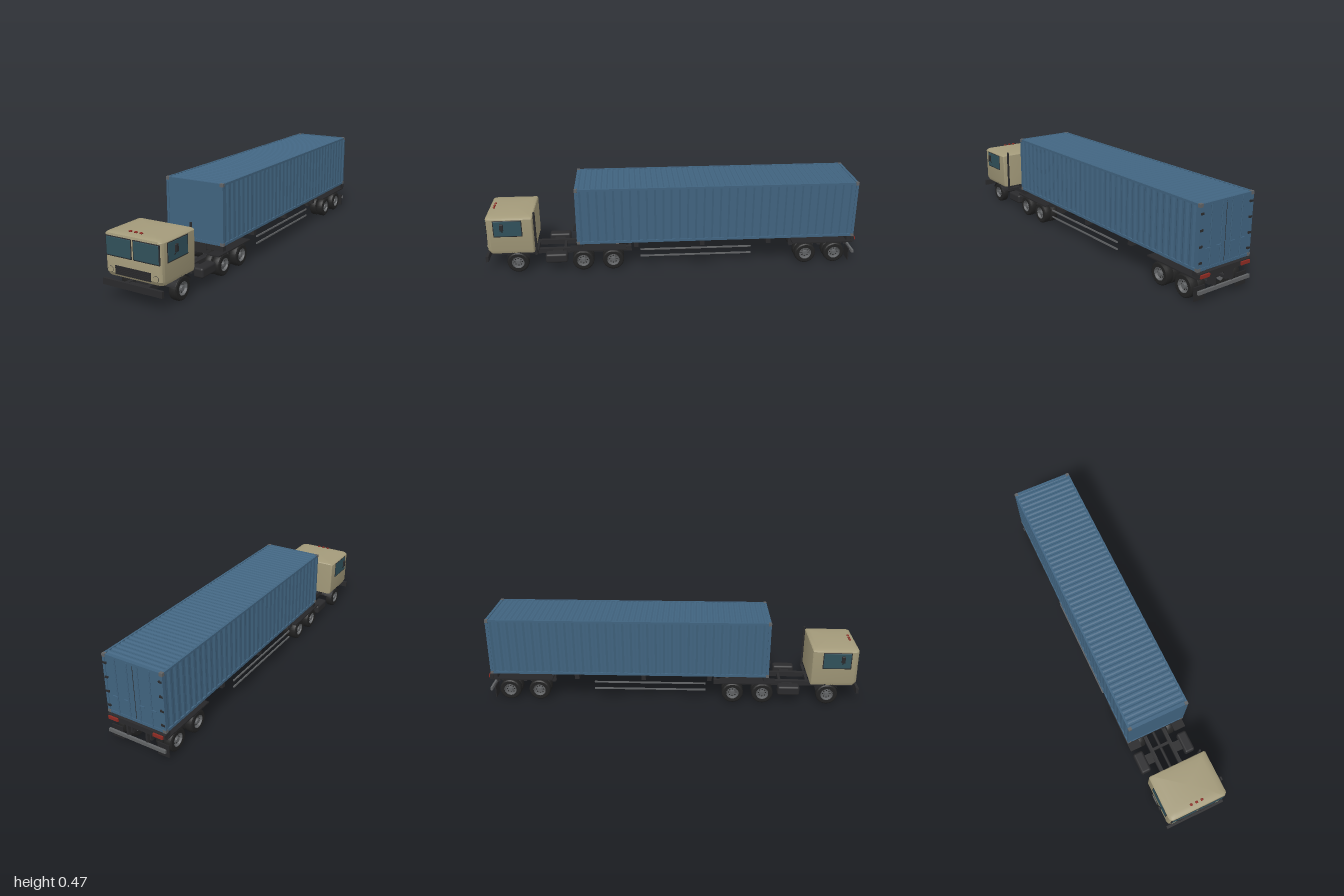
import * as THREE from 'three';
import { toCreasedNormals } from 'three/addons/utils/BufferGeometryUtils.js';
import { RoundedBoxGeometry } from 'three/addons/geometries/RoundedBoxGeometry.js';

const paint = (name, color) => Object.assign(new THREE.MeshStandardMaterial({ color }), { name });
const blue = paint('container blue', 0x40637f);
const beige = paint('cab beige', 0xa39a7a);
const glass = paint('window glass', 0x30505a);
const black = paint('chassis black', 0x2a2a2c);
const rubber = paint('tyre rubber', 0x222222);
const steel = paint('steel grey', 0x606264);
const red = paint('lamp red', 0x8c2a22);
const guard = paint('mudguard black', 0x262628);
guard.side = THREE.DoubleSide;

function add(parent, name, geometry, material, x = 0, y = 0, z = 0) {
  const mesh = new THREE.Mesh(geometry, material);
  mesh.name = name;
  mesh.position.set(x, y, z);
  parent.add(mesh);
  return mesh;
}

// Box given by its limits on each axis
function box(parent, name, material, [x0, x1], [y0, y1], [z0, z1]) {
  return add(parent, name, new THREE.BoxGeometry(x1 - x0, y1 - y0, z1 - z0), material,
    (x0 + x1) / 2, (y0 + y1) / 2, (z0 + z1) / 2);
}

// The same box on both sides of the vehicle
function pair(parent, name, material, [x0, x1], ys, zs) {
  box(parent, name + 'Left', material, [x0, x1], ys, zs);
  box(parent, name + 'Right', material, [-x1, -x0], ys, zs);
}

const rod = (r, length, sides = 12) => new THREE.CylinderGeometry(r, r, length, sides);
const lathe = (points) => toCreasedNormals(
  new THREE.LatheGeometry(points.map(([x, y]) => new THREE.Vector2(x, y)), 28).rotateZ(-Math.PI / 2), 0.5);

// Panel folded into trapezoid ribs
function ribbedPanel(width, height, ribs, depth) {
  const plane = new THREE.PlaneGeometry(width, height, ribs * 4, 1);
  const p = plane.attributes.position;
  for (let i = 0; i < p.count; i++) {
    if ((i % (ribs * 4 + 1)) % 4 >= 2) p.setZ(i, -depth);
  }
  const flat = plane.toNonIndexed();
  flat.computeVertexNormals();
  return flat;
}

// Closed skin through stacked loops of equal length
function loft(rings) {
  const n = rings[0].length, index = [];
  for (let i = 0; i < rings.length - 1; i++) {
    for (let j = 0; j < n; j++) {
      const a = i * n + j, b = i * n + (j + 1) % n;
      index.push(a, a + n, b, b, a + n, b + n);
    }
  }
  const g = new THREE.BufferGeometry();
  g.setAttribute('position', new THREE.Float32BufferAttribute(rings.flat(2), 3));
  g.setIndex(index);
  return toCreasedNormals(g, 0.5);
}

// Cab outline seen from above, shrunk about its centre by s
function cabRing(y, w, front, s = 1) {
  const back = 0.742, mid = (front + back) / 2, ring = [];
  [[1, 1, 0.022], [-1, 1, 0.022], [-1, -1, 0.008], [1, -1, 0.008]].forEach(([sx, sz, r], q) => {
    for (let k = 0; k <= 5; k++) {
      const a = (q + k / 5) * Math.PI / 2;
      const x = (sx * (w - r) + r * Math.cos(a)) * s;
      const z = mid + (sz * ((front - back) / 2 - r) + r * Math.sin(a)) * s;
      ring.push([x, typeof y === 'function' ? y(x) : y, z]);
    }
  });
  return ring;
}

const tyreGeo = lathe([[0.033, -0.021], [0.05, -0.021], [0.056, -0.017], [0.058, -0.011],
  [0.058, 0.011], [0.056, 0.017], [0.05, 0.021], [0.033, 0.021]]);
const rimGeo = lathe([[0, -0.012], [0.034, -0.012], [0.034, 0.02], [0.031, 0.02], [0.026, 0.009],
  [0.014, 0.009], [0.012, 0.02], [0, 0.021]]);
const holeGeo = new THREE.CircleGeometry(0.0035, 8).rotateY(Math.PI / 2);

function wheel(parent, x, z, side) {
  const g = new THREE.Group();
  g.name = 'wheel';
  add(g, 'tyre', tyreGeo, rubber);
  add(g, 'rim', rimGeo, steel);
  for (let i = 0; i < 8; i++) {
    const a = i * Math.PI / 4;
    add(g, 'rimHole', holeGeo, rubber, 0.0096, 0.02 * Math.cos(a), 0.02 * Math.sin(a));
  }
  g.position.set(x * side, 0.058, z);
  if (side < 0) g.rotation.y = Math.PI;
  parent.add(g);
}

function axle(parent, z, dual) {
  add(parent, 'axle', rod(0.012, 0.26).rotateZ(Math.PI / 2), black, 0, 0.058, z);
  for (const side of [1, -1]) {
    wheel(parent, 0.134, z, side);
    if (dual) wheel(parent, 0.088, z, side);
  }
}

function buildCab() {
  const cab = new THREE.Group();
  cab.name = 'cab';
  const arch = (drop) => (x) => 0.33 - drop - 0.012 * (x / 0.155) ** 2;
  add(cab, 'cabShell', loft([
    cabRing(0.116, 0.15, 0.975, 0.001), cabRing(0.116, 0.152, 0.975), cabRing(0.135, 0.158, 0.986),
    cabRing(0.31, 0.16, 0.986), cabRing(arch(0.005), 0.158, 0.984), cabRing(arch(0.001), 0.156, 0.981, 0.97),
    ...[0.8, 0.6, 0.4, 0.2, 0.001].map((s) => cabRing(arch(0), 0.156, 0.981, s)),
  ]), beige);
  // Windscreen halves, side windows and lamps
  for (const s of [1, -1]) {
    add(cab, 'windscreenFrame', new RoundedBoxGeometry(0.146, 0.096, 0.008, 2, 0.004), black, s * 0.076, 0.258, 0.984);
    add(cab, 'windscreen', new RoundedBoxGeometry(0.138, 0.088, 0.008, 2, 0.004), glass, s * 0.076, 0.258, 0.9855);
    add(cab, 'sideWindowFrame', new RoundedBoxGeometry(0.006, 0.094, 0.152, 2, 0.003), black, s * 0.158, 0.26, 0.872);
    add(cab, 'sideWindow', new RoundedBoxGeometry(0.006, 0.086, 0.144, 2, 0.003), glass, s * 0.1592, 0.26, 0.872);
    add(cab, 'headlightRing', new THREE.TorusGeometry(0.0135, 0.001, 6, 24), black, s * 0.125, 0.148, 0.986);
    add(cab, 'headlight', rod(0.013, 0.006, 24).rotateX(Math.PI / 2), beige, s * 0.125, 0.148, 0.985);
    // Mirror on a bent arm
    const arm = new THREE.CatmullRomCurve3([[0.157, 0.235], [0.168, 0.248], [0.174, 0.262]]
      .map(([x, y]) => new THREE.Vector3(s * x, y, 0.9)));
    add(cab, 'mirrorArm', new THREE.TubeGeometry(arm, 8, 0.002, 6), black);
    add(cab, 'mirror', new RoundedBoxGeometry(0.01, 0.038, 0.02, 2, 0.004), black, s * 0.175, 0.274, 0.9);
    // Arched guard over the front wheel
    const arc = new THREE.CylinderGeometry(0.066, 0.066, 0.05, 20, 1, true, -1.2, 2.4);
    arc.rotateX(-Math.PI / 2).rotateY(Math.PI / 2);
    add(cab, 'frontMudguard', arc, guard, s * 0.13, 0.056, 0.834);
  }
  // Slatted grille
  box(cab, 'grille', black, [-0.098, 0.098], [0.13, 0.171], [0.98, 0.989]);
  for (let i = 0; i < 5; i++) {
    const y = 0.135 + i * 0.008;
    box(cab, 'grilleSlat', guard, [-0.096, 0.096], [y, y + 0.004], [0.988, 0.992]);
  }
  for (const x of [-0.03, 0, 0.03]) {
    add(cab, 'roofLamp', new RoundedBoxGeometry(0.014, 0.007, 0.012, 2, 0.003), red, x, 0.33, 0.955);
  }
  return cab;
}

function buildTractor() {
  const tractor = new THREE.Group();
  tractor.name = 'tractor';
  tractor.add(buildCab());
  box(tractor, 'bumper', black, [-0.165, 0.165], [0.072, 0.103], [0.986, 1]);
  pair(tractor, 'frameRail', black, [0.046, 0.066], [0.066, 0.092], [0.225, 0.99]);
  for (const z of [0.95, 0.74, 0.59, 0.4, 0.235]) {
    box(tractor, 'crossMember', black, [-0.05, 0.05], [0.07, 0.088], [z - 0.007, z + 0.007]);
  }
  box(tractor, 'engine', black, [-0.04, 0.04], [0.062, 0.116], [0.77, 0.92]);
  add(tractor, 'driveShaft', rod(0.008, 0.45).rotateX(Math.PI / 2), black, 0, 0.062, 0.55);
  axle(tractor, 0.834, false);
  for (const z of [0.487, 0.326]) axle(tractor, z, true);
  for (const s of [1, -1]) {
    add(tractor, 'fuelTank', new RoundedBoxGeometry(0.056, 0.052, 0.118, 3, 0.012), black, s * 0.132, 0.076, 0.628);
    box(tractor, 'tankBracket', black, s > 0 ? [0.06, 0.11] : [-0.11, -0.06], [0.07, 0.085], [0.6, 0.655]);
  }
  pair(tractor, 'rearMudguard', guard, [0.1, 0.165], [0.118, 0.124], [0.255, 0.555]);
  box(tractor, 'couplingPlate', black, [-0.07, 0.07], [0.092, 0.126], [0.33, 0.48]);
  add(tractor, 'exhaustStack', rod(0.006, 0.237), black, 0.133, 0.2185, 0.734);
  box(tractor, 'exhaustBracket', black, [0.06, 0.139], [0.094, 0.104], [0.728, 0.742]);
  return tractor;
}

function buildTrailer() {
  const trailer = new THREE.Group();
  trailer.name = 'trailer';
  pair(trailer, 'mainBeam', black, [0.045, 0.065], [0.124, 0.158], [-0.975, 0.515]);
  for (const z of [0.5, 0.2, -0.155, -0.515, -0.96]) {
    box(trailer, 'bolster', black, [-0.162, 0.162], [0.132, 0.158], [z - 0.012, z + 0.012]);
  }
  for (const z of [0.02, -0.34, -0.65, -0.81]) {
    box(trailer, 'crossMember', black, [-0.05, 0.05], [0.13, 0.154], [z - 0.006, z + 0.006]);
  }
  // Running gear
  for (const z of [-0.727, -0.888]) {
    axle(trailer, z, true);
    pair(trailer, 'spring', black, [0.045, 0.062], [0.064, 0.078], [z - 0.07, z + 0.07]);
    pair(trailer, 'springHanger', black, [0.046, 0.062], [0.07, 0.126], [z + 0.055, z + 0.075]);
  }
  pair(trailer, 'springEndHanger', black, [0.046, 0.062], [0.07, 0.126], [-0.965, -0.945]);
  pair(trailer, 'mudguard', guard, [0.1, 0.165], [0.123, 0.129], [-0.98, -0.65]);
  // Side guards and rear protection
  pair(trailer, 'upperSideGuard', steel, [0.157, 0.163], [0.113, 0.121], [-0.42, 0.18]);
  pair(trailer, 'lowerSideGuard', steel, [0.157, 0.163], [0.075, 0.083], [-0.42, 0.18]);
  pair(trailer, 'mudFlap', guard, [0.1, 0.164], [0.015, 0.082], [-0.97, -0.964]);
  box(trailer, 'rearBar', steel, [-0.162, 0.162], [0.055, 0.072], [-0.996, -0.985]);
  pair(trailer, 'rearBarArm', black, [0.05, 0.06], [0.06, 0.13], [-0.988, -0.97]);
  box(trailer, 'lampBoard', black, [-0.164, 0.164], [0.126, 0.152], [-0.99, -0.972]);
  pair(trailer, 'tailLamp', red, [0.1, 0.155], [0.131, 0.147], [-0.998, -0.989]);
  return trailer;
}

function buildContainer() {
  const box0 = new THREE.Group();
  box0.name = 'container';
  const [front, back, low, high, w] = [0.515, -0.983, 0.16, 0.469, 0.165];
  const length = front - back, mid = (front + back) / 2, midY = (low + high) / 2;
  for (const s of [1, -1]) {
    add(box0, 'sideWall', ribbedPanel(length - 0.02, high - low - 0.02, 34, 0.006), blue, s * (w - 0.002), midY, mid)
      .rotation.y = s * Math.PI / 2;
  }
  add(box0, 'roof', ribbedPanel(length - 0.02, 2 * w - 0.01, 50, 0.004).rotateX(-Math.PI / 2).rotateY(Math.PI / 2),
    blue, 0, high - 0.001, mid);
  box(box0, 'floor', blue, [-w + 0.01, w - 0.01], [low, low + 0.01], [back, front]);
  box(box0, 'frontWall', blue, [-w + 0.012, w - 0.012], [low, high - 0.002], [front - 0.012, front - 0.003]);
  // Edge rails and corner posts
  pair(box0, 'bottomRail', blue, [w - 0.012, w], [low, low + 0.013], [back, front]);
  pair(box0, 'topRail', blue, [w - 0.01, w], [high - 0.011, high], [back, front]);
  for (const [z0, z1] of [[front - 0.014, front], [back, back + 0.014]]) {
    pair(box0, 'cornerPost', blue, [w - 0.013, w], [low, high], [z0, z1]);
    for (const y of [low, high - 0.014]) {
      box(box0, 'endRail', blue, [-w, w], [y, y + 0.014], [z0, z1]);
      pair(box0, 'cornerCasting', steel, [w - 0.017, w + 0.001], [y - 0.001, y + 0.015], [z0 - 0.001, z1 + 0.001]);
    }
  }
  // Rear doors with locking bars and hinges
  pair(box0, 'door', blue, [0.002, w - 0.013], [low + 0.012, high - 0.012], [back + 0.003, back + 0.012]);
  box(box0, 'doorSeal', black, [-0.002, 0.002], [low + 0.012, high - 0.012], [back + 0.004, back + 0.012]);
  for (const s of [1, -1]) {
    for (const x of [0.03, 0.095]) {
      add(box0, 'lockingBar', rod(0.003, high - low - 0.016, 8), blue, s * x, midY, back);
      add(box0, 'lockHandle', new THREE.BoxGeometry(0.03, 0.006, 0.005), blue, s * (x + 0.012), 0.26, back - 0.001);
    }
    for (let i = 0; i < 4; i++) {
      add(box0, 'hinge', new THREE.BoxGeometry(0.018, 0.01, 0.006), black, s * 0.152, 0.2 + i * 0.075, back);
    }
  }
  return box0;
}

export function createModel() {
  const model = new THREE.Group();
  model.name = 'containerTruck';
  model.add(buildTractor(), buildTrailer(), buildContainer());
  return model;
}
